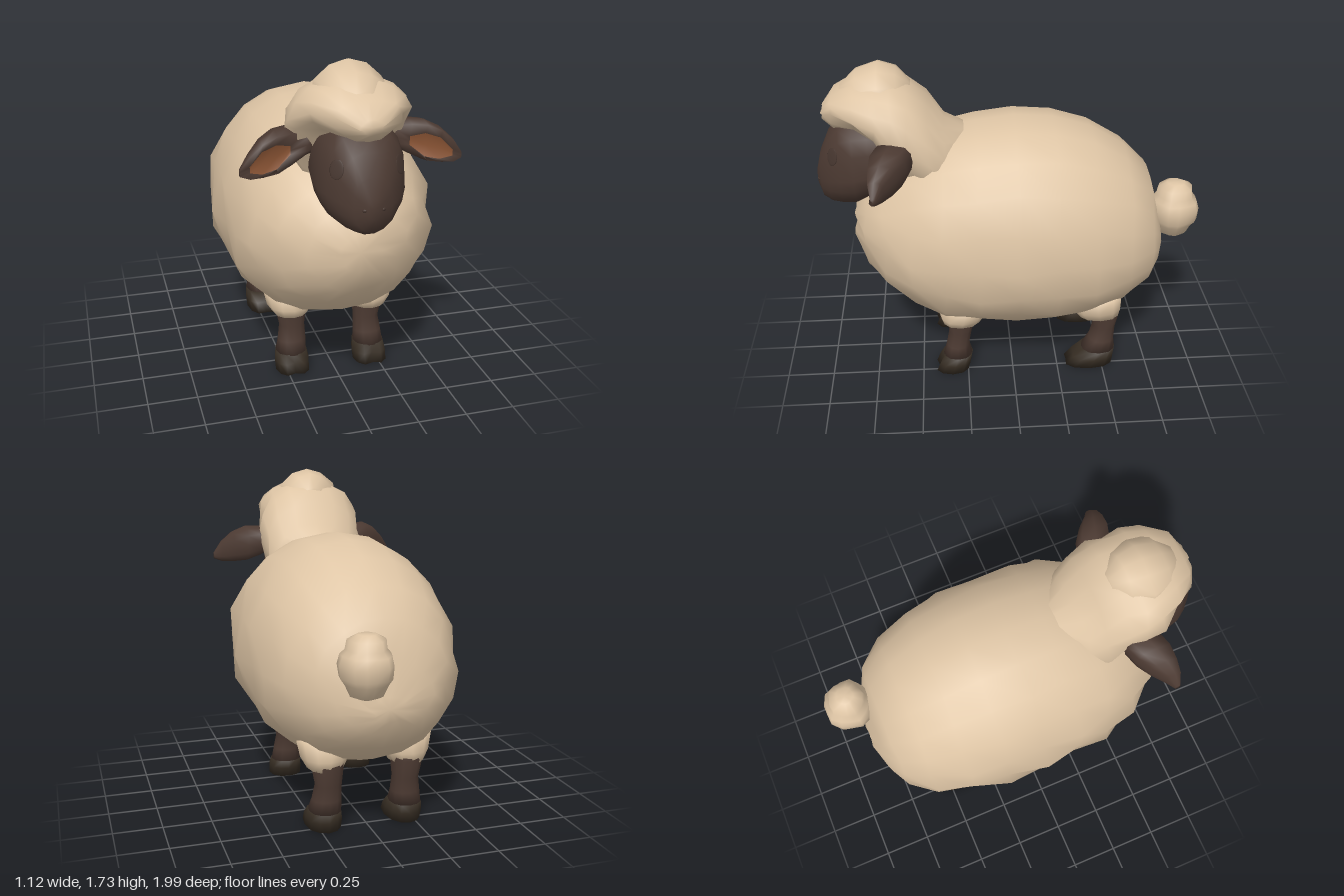
import * as THREE from 'three';

const mat = (name, color) => Object.assign(new THREE.MeshStandardMaterial({ color }), { name });

// Skin a list of rings (arrays of [x,y,z], counter-clockwise seen from the end) and cap both ends.
// innerTest(i, j) sends a quad to the second material group.
function loft(rings, innerTest = () => false) {
  const n = rings[0].length, pos = rings.flat(2), main = [], inner = [];
  const last = rings.length - 1;
  for (let i = 0; i < last; i++) for (let j = 0; j < n; j++) {
    const a = i * n + j, b = i * n + (j + 1) % n;
    (innerTest(i, j) ? inner : main).push(a, b, b + n, a, b + n, a + n);
  }
  for (const [r, flip] of [[0, true], [last, false]]) {
    const c = pos.length / 3;
    for (let k = 0; k < 3; k++) pos.push(rings[r].reduce((s, p) => s + p[k], 0) / n);
    for (let j = 0; j < n; j++) {
      const a = r * n + j, b = r * n + (j + 1) % n;
      main.push(...(flip ? [c, b, a] : [c, a, b]));
    }
  }
  const g = new THREE.BufferGeometry();
  g.setAttribute('position', new THREE.Float32BufferAttribute(pos, 3));
  g.setIndex([...main, ...inner]);
  if (inner.length) {
    g.addGroup(0, main.length, 0);
    g.addGroup(main.length, inner.length, 1);
  }
  g.computeVertexNormals();
  return g;
}

// Copy of a geometry reflected across x = 0, with its winding restored
function mirrored(geo) {
  const g = geo.clone().scale(-1, 1, 1), ix = g.index.array;
  for (let i = 0; i < ix.length; i += 3) [ix[i + 1], ix[i + 2]] = [ix[i + 2], ix[i + 1]];
  g.computeVertexNormals();
  return g;
}

const around = (n, f) => Array.from({ length: n }, (_, j) => f(j / n * Math.PI * 2, j));
const spow = (v, e) => Math.sign(v) * Math.abs(v) ** e;

// Upright section at z: bottom, top, half width, height of the widest line, centre x.
// lump roughens the sides; eTop and eLow shape the upper and lower halves (1 is an ellipse).
const sectionZ = (n, lump, eTop = 1, eLow = eTop) => ([z, y0, y1, w, yc, x = 0], i) => around(n, (a, j) => {
  const e = Math.sin(a) > 0 ? eTop : eLow;
  const c = spow(Math.cos(a), e), s = spow(Math.sin(a), e);
  const k = lump * Math.sin(i * 2.3 + j * 1.9) * Math.abs(c);
  return [x + c * (w + k), yc + s * (s > 0 ? y1 - yc : yc - y0), z + k * 0.4];
});

// Level section at y: centre x, half width, back z, front z, cleft depth at the front
const sectionY = ([y, x, w, z0, z1, cleft = 0]) => around(12, (a, j) => [
  x + Math.cos(a) * w, y, (z0 + z1) / 2 - spow(Math.sin(a), 0.8) * (z1 - z0) / 2 - (j === 9 ? cleft : 0)]);

export function createModel() {
  const wool = mat('cream wool', 0xdec5a5), skin = mat('dark brown skin', 0x4c3a32);
  const hoofMat = mat('dark hoof', 0x352c22), earInner = mat('inner ear brown', 0x8a5434);
  const eyeMat = mat('eye brown', 0x46362f);
  const model = new THREE.Group();
  model.name = 'sheep';
  const add = (name, geo, material) => {
    const m = new THREE.Mesh(geo, material);
    m.name = name;
    model.add(m);
    return m;
  };
  const addPair = (name, geo, material) => {
    add('left' + name, geo, material);
    add('right' + name, mirrored(geo), material);
  };

  // Fleece barrel, tail end to chest
  add('bodyFleece', loft([
    [-0.825, 0.64, 0.76, 0.09, 0.7], [-0.785, 0.565, 0.93, 0.23, 0.74], [-0.73, 0.48, 1.12, 0.335, 0.77],
    [-0.6, 0.38, 1.25, 0.435, 0.79], [-0.42, 0.31, 1.36, 0.5, 0.8], [-0.22, 0.29, 1.42, 0.535, 0.8],
    [-0.02, 0.285, 1.435, 0.54, 0.8], [0.18, 0.295, 1.41, 0.53, 0.8], [0.36, 0.325, 1.37, 0.51, 0.8],
    [0.52, 0.405, 1.28, 0.45, 0.82], [0.66, 0.51, 1.16, 0.36, 0.84], [0.76, 0.625, 1.05, 0.24, 0.85],
    [0.82, 0.75, 0.94, 0.09, 0.85],
  ].map(sectionZ(20, 0.022, 0.97, 0.93))), wool);

  // Neck and crown wool, with a pointed fringe
  add('headFleece', loft([
    [0.2, 1.2, 1.38, 0.12, 1.25], [0.34, 1.05, 1.44, 0.26, 1.2, 0.01], [0.42, 1.02, 1.56, 0.285, 1.28],
    [0.52, 1.04, 1.635, 0.29, 1.38], [0.6, 1.12, 1.66, 0.295, 1.42, -0.02],
    [0.68, 1.34, 1.665, 0.28, 1.47, -0.02], [0.78, 1.41, 1.655, 0.235, 1.52, -0.01],
    [0.89, 1.4, 1.59, 0.16, 1.53], [0.945, 1.45, 1.52, 0.05, 1.48],
  ].map(sectionZ(16, 0.015, 0.95, 1.1))), wool);
  add('topKnot', loft([
    [0.5, 1.53, 1.63, 0.07, 1.57, -0.02], [0.57, 1.5, 1.705, 0.15, 1.57, -0.02],
    [0.66, 1.5, 1.73, 0.18, 1.57, -0.025], [0.77, 1.5, 1.69, 0.16, 1.57, -0.02],
    [0.85, 1.52, 1.62, 0.08, 1.57, -0.01],
  ].map(sectionZ(12, 0.012, 1.1))), wool);

  // Face tapering to the muzzle
  const face = add('face', loft([
    [0.5, 1.12, 1.4, 0.16, 1.27], [0.62, 1.09, 1.45, 0.2, 1.22], [0.72, 1.03, 1.475, 0.213, 1.2],
    [0.8, 0.985, 1.475, 0.208, 1.18], [0.87, 0.98, 1.45, 0.185, 1.17], [0.93, 0.985, 1.37, 0.14, 1.15],
    [0.975, 1.01, 1.27, 0.09, 1.13], [1.0, 1.08, 1.17, 0.03, 1.13],
  ].map(sectionZ(18, 0, 0.77, 1))), skin);

  // Eyes and nostrils laid on the face surface
  face.updateMatrixWorld();
  const ray = new THREE.Raycaster();
  for (const [name, x, y, rx, ry] of [['Eye', 0.146, 1.295, 0.036, 0.046], ['Nostril', 0.045, 1.125, 0.01, 0.008]])
    for (const s of [1, -1]) {
      ray.set(new THREE.Vector3(s * x, y, 2), new THREE.Vector3(0, 0, -1));
      const hit = ray.intersectObject(face)[0];
      if (!hit) continue;
      const m = add((s > 0 ? 'left' : 'right') + name, new THREE.SphereGeometry(1, 14, 8), eyeMat);
      m.scale.set(rx, ry, 0.004);
      m.position.copy(hit.point);
      m.lookAt(hit.point.clone().add(hit.face.normal));
    }

  // Cupped ears with a forward rim: x, centre y, half height, centre z, half depth, hollow size
  const ear = loft([
    [0.16, 1.34, 0.045, 0.59, 0.05, 0], [0.22, 1.345, 0.06, 0.595, 0.085, 0], [0.29, 1.33, 0.085, 0.6, 0.105, 0.5],
    [0.36, 1.313, 0.1, 0.625, 0.1, 1.15], [0.43, 1.293, 0.088, 0.65, 0.075, 1.2],
    [0.49, 1.265, 0.06, 0.675, 0.042, 0.5], [0.535, 1.24, 0.018, 0.68, 0.014, 0],
  ].map(([x, y, h, z, d, size]) => around(12, (a, j) => {
    const hollow = size > 0 && j > 1 && j < 5;
    return [x, y + Math.cos(a) * h * (hollow ? size : 1) - (hollow ? h * 0.18 : 0),
      z + (hollow ? d * 0.4 : spow(Math.sin(a), 0.5) * d)];
  })), (i, j) => i > 1 && i < 5 && j > 1 && j < 4);
  addPair('Ear', ear, [skin, earInner]);

  // Legs, cloven hooves and the wool hugging the top of each leg
  const X = 0.215;
  addPair('FrontLeg', loft([
    [0.09, X, 0.082, 0.225, 0.385], [0.16, X - 0.005, 0.076, 0.24, 0.365], [0.24, X - 0.01, 0.068, 0.225, 0.35],
    [0.33, X - 0.005, 0.082, 0.2, 0.365], [0.46, X - 0.01, 0.085, 0.19, 0.37],
  ].map(sectionY)), skin);
  addPair('FrontHoof', loft([
    [0, X, 0.09, 0.24, 0.435, 0.025], [0.05, X, 0.092, 0.23, 0.415, 0.025], [0.095, X, 0.084, 0.222, 0.388, 0.01],
  ].map(sectionY)), hoofMat);
  addPair('FrontLegWool', loft([
    [0.315, X, 0.09, 0.18, 0.385], [0.36, X, 0.12, 0.15, 0.4], [0.46, X, 0.14, 0.1, 0.4],
  ].map(sectionY)), wool);
  addPair('BackLeg', loft([
    [0.09, X, 0.082, -0.575, -0.385], [0.16, X - 0.005, 0.076, -0.57, -0.43], [0.24, X - 0.01, 0.068, -0.575, -0.45],
    [0.34, X - 0.005, 0.082, -0.595, -0.43], [0.48, X - 0.01, 0.085, -0.58, -0.4],
  ].map(sectionY)), skin);
  addPair('BackHoof', loft([
    [0, X, 0.09, -0.57, -0.285, 0.02], [0.05, X, 0.092, -0.575, -0.325, 0.02], [0.095, X, 0.084, -0.578, -0.375, 0.01],
  ].map(sectionY)), hoofMat);
  addPair('BackLegWool', loft([
    [0.325, X, 0.09, -0.59, -0.36], [0.38, X, 0.12, -0.6, -0.32], [0.48, X, 0.14, -0.6, -0.3],
  ].map(sectionY)), wool);

  // Lumpy tail, set a little to one side
  add('tail', loft([
    [0.78, 0.04], [0.795, 0.075], [0.85, 0.1], [0.88, 0.122], [0.94, 0.13], [0.985, 0.118],
    [1.01, 0.095], [1.055, 0.088], [1.08, 0.045],
  ].map(([y, r], i) => around(15, a => {
    const k = r * (1 + 0.06 * Math.cos(5 * a + i * 0.4));
    return [0.13 + Math.cos(a) * k, y, -0.865 - Math.sin(a) * k];
  }))), wool);

  return model;
}
